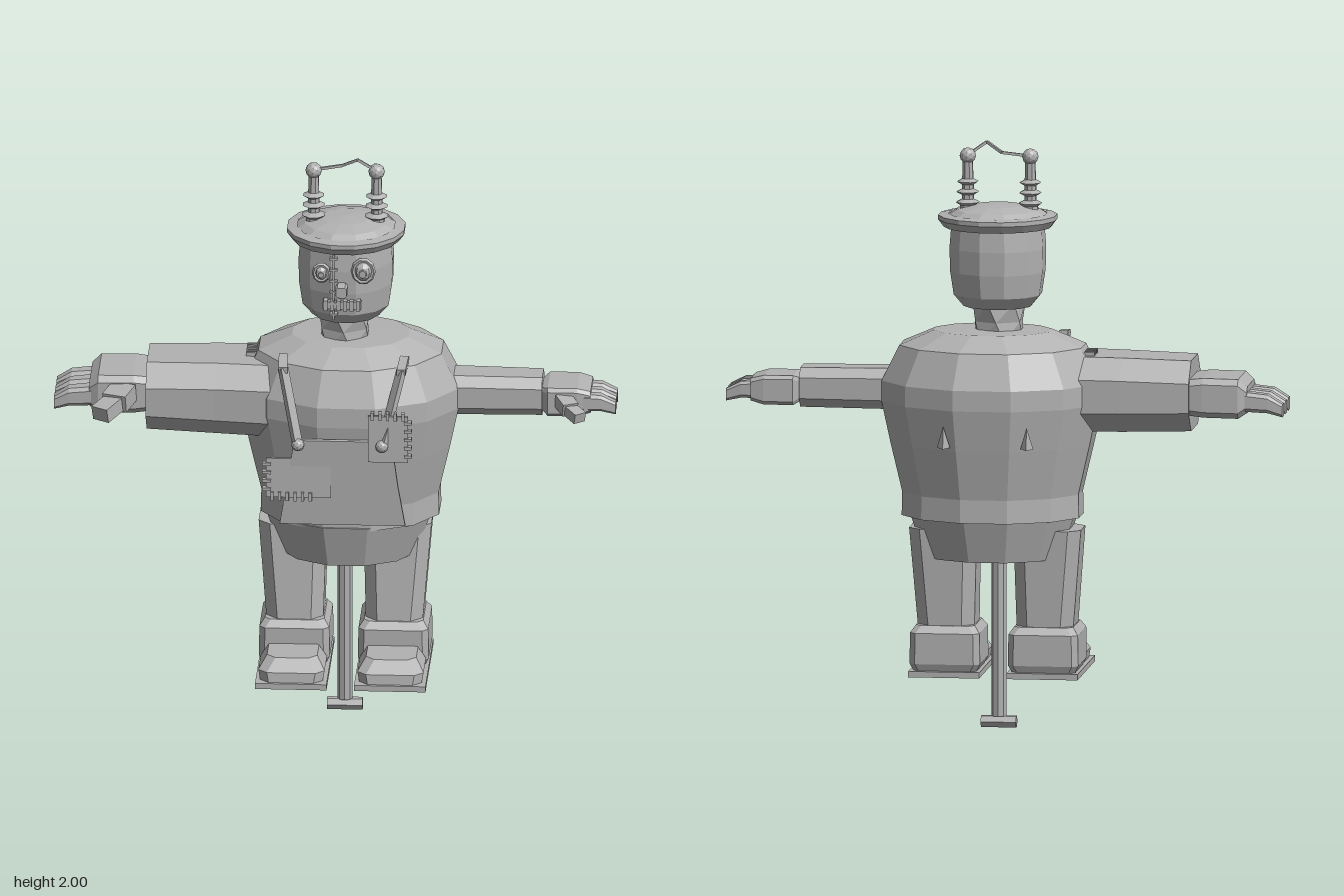
import * as THREE from 'three';

export function createModel() {
  const model = new THREE.Group();
  model.name = 'tinRobot';
  const tin = new THREE.MeshStandardMaterial({ color: 0xb2b2b2, flatShading: true, side: THREE.DoubleSide });
  tin.name = 'tin grey';

  const add = (name, geo, x = 0, y = 0, z = 0) => {
    const m = new THREE.Mesh(geo, tin);
    m.name = name;
    m.position.set(x, y, z);
    model.add(m);
    return m;
  };
  const box = (name, w, h, d, x, y, z) => add(name, new THREE.BoxGeometry(w, h, d), x, y, z);

  // Straight bar between two points
  const bar = (name, a, b, w, t) => {
    const p = new THREE.Vector3(...a), q = new THREE.Vector3(...b);
    const m = add(name, new THREE.BoxGeometry(w, t, p.distanceTo(q)));
    m.position.copy(p).add(q).multiplyScalar(0.5);
    m.lookAt(q);
    return m;
  };

  // Capped loft of chamfered rectangles along an axis.
  // Each section: [position, centreU, centreV, halfU, halfV, chamfer]
  // axis x: u = y, v = z; axis y: u = x, v = z; axis z: u = x, v = y
  const loft = (name, axis, sections) => {
    const rings = sections.map(([p, cu, cv, hu, hv, c = 0.01]) => {
      const pts = [[hu, -hv + c], [hu, hv - c], [hu - c, hv], [c - hu, hv],
        [-hu, hv - c], [-hu, c - hv], [c - hu, -hv], [hu - c, -hv]];
      return pts.map(([u, v]) => axis === 'x' ? [p, cu + u, cv + v]
        : axis === 'y' ? [cu + u, p, cv - v] : [cu + u, cv + v, p]);
    });
    const pos = [];
    const tri = (...t) => t.forEach((v) => pos.push(...v));
    for (let i = 0; i + 1 < rings.length; i++) {
      const a = rings[i], b = rings[i + 1];
      for (let j = 0; j < 8; j++) {
        const k = (j + 1) % 8;
        tri(a[j], a[k], b[k]);
        tri(a[j], b[k], b[j]);
      }
    }
    const s = rings[0], e = rings[rings.length - 1];
    for (let j = 1; j < 7; j++) {
      tri(s[0], s[j + 1], s[j]);
      tri(e[0], e[j], e[j + 1]);
    }
    const g = new THREE.BufferGeometry();
    g.setAttribute('position', new THREE.Float32BufferAttribute(pos, 3));
    g.computeVertexNormals();
    return add(name, g);
  };

  // Faceted turned shape; profile is [radius, y] going upward
  const turned = (name, profile, sides, x, z, depth = 1) => {
    const f = 1 / Math.cos(Math.PI / sides);
    const pts = profile.map(([r, y]) => new THREE.Vector2(r * (r > 0.01 ? (1 + f) / 2 : 1), y));
    const m = add(name, new THREE.LatheGeometry(pts, sides, Math.PI / sides), x, 0, z);
    m.scale.z = depth;
    return m;
  };

  // Torso and trousers
  turned('torso', [[0, 0.74], [0.307, 0.73], [0.305, 0.81], [0.345, 0.98], [0.375, 1.12],
    [0.375, 1.19], [0.315, 1.31], [0.2, 1.36], [0, 1.365]], 12, 0.05, -0.02, 0.8);
  turned('trousers', [[0, 0.59], [0.235, 0.59], [0.285, 0.74], [0, 0.75]], 12, 0.045, -0.014, 0.86);

  // Twisted neck
  const neck = new THREE.CylinderGeometry(0.09, 0.085, 0.13, 6, 2);
  const np = neck.attributes.position;
  for (let i = 0; i < np.count; i++) {
    const a = np.getY(i) * 5, x = np.getX(i), z = np.getZ(i);
    np.setXYZ(i, x * Math.cos(a) - z * Math.sin(a), np.getY(i), x * Math.sin(a) + z * Math.cos(a));
  }
  add('neck', neck, 0.03, 1.39, -0.005);

  // Head with brimmed lid
  const hx = 0.035;
  turned('head', [[0, 1.44], [0.115, 1.44], [0.148, 1.48], [0.16, 1.56], [0.162, 1.64], [0.155, 1.73], [0, 1.73]], 12, hx, 0);
  turned('lidBrim', [[0.155, 1.712], [0.182, 1.71], [0.2, 1.735], [0.2, 1.75], [0.165, 1.755]], 16, hx, 0);
  turned('lidDome', [[0.175, 1.745], [0.14, 1.768], [0.08, 1.782], [0, 1.787]], 12, hx, 0);

  // Face
  for (const [name, x, y, r] of [['rightEye', -0.04, 1.638, 0.024], ['leftEye', 0.102, 1.647, 0.034]]) {
    const rim = add(name + 'Rim', new THREE.TorusGeometry(r, 0.008, 5, 10), x, y, 0.162);
    rim.scale.y = 1.15;
    const ball = add(name, new THREE.SphereGeometry(r * 0.9, 8, 6), x, y, 0.162);
    ball.scale.y = 1.1;
    const pupil = add(name + 'Pupil', new THREE.CylinderGeometry(r * 0.4, r * 0.4, 0.012, 6), x, y, 0.162 + r * 0.9);
    pupil.rotation.x = Math.PI / 2;
  }
  loft('nose', 'z', [[0.14, 0.03, 1.585, 0.014, 0.014, 0.005], [0.185, 0.03, 1.585, 0.021, 0.021, 0.007],
    [0.215, 0.03, 1.585, 0.018, 0.018, 0.006]]);
  box('mouth', 0.13, 0.026, 0.03, 0.03, 1.523, 0.155);
  for (let i = 0; i < 6; i++) box('tooth', 0.014, 0.036, 0.036, -0.025 + i * 0.022, 1.523, 0.157);
  box('faceSeam', 0.006, 0.27, 0.02, 0.002, 1.605, 0.158);
  for (let i = 0; i < 7; i++) box('faceStitch', 0.026, 0.007, 0.024, 0.002, 1.49 + i * 0.04, 0.16);

  // Antennas with ribbed insulators and a bent wire
  for (const x of [-0.075, 0.138]) {
    turned('antenna', [[0.03, 1.74], [0.026, 1.78], [0.04, 1.79], [0.02, 1.8], [0.02, 1.815], [0.038, 1.825],
      [0.02, 1.835], [0.02, 1.85], [0.036, 1.86], [0.019, 1.87], [0.017, 1.94]], 8, x, 0.005);
    add('antennaBall', new THREE.IcosahedronGeometry(0.028, 1), x, 1.948, 0.005);
  }
  const wire = [[-0.075, 1.95, 0.005], [0.02, 1.962, -0.008], [0.075, 1.994, 0.02], [0.138, 1.95, 0.005]];
  for (let i = 0; i < 3; i++) bar('antennaWire', wire[i], wire[i + 1], 0.009, 0.009);

  // Bulky right arm, slim left arm
  loft('rightArm', 'x', [[-0.635, 1.155, 0, 0.12, 0.16, 0.07], [-0.4, 1.155, 0.005, 0.126, 0.168, 0.07],
    [-0.18, 1.155, 0.015, 0.128, 0.178, 0.07]]);
  loft('rightHand', 'x', [[-0.83, 1.15, -0.025, 0.045, 0.11, 0.02], [-0.8, 1.153, -0.025, 0.067, 0.125, 0.02],
    [-0.68, 1.155, -0.025, 0.067, 0.125, 0.02], [-0.62, 1.155, -0.025, 0.06, 0.12, 0.02]]);
  loft('leftArm', 'x', [[0.34, 1.158, -0.018, 0.07, 0.083, 0.032], [0.7, 1.157, -0.018, 0.067, 0.077, 0.032]]);
  loft('leftHand', 'x', [[0.695, 1.15, -0.018, 0.038, 0.055, 0.012], [0.72, 1.15, -0.018, 0.05, 0.092, 0.012],
    [0.82, 1.15, -0.018, 0.05, 0.092, 0.012], [0.865, 1.15, -0.018, 0.038, 0.085, 0.012]]);

  // Three bent fingers on each hand
  for (const z of [-0.105, -0.025, 0.055]) {
    loft('rightFinger', 'x', [[-0.95, 1.115, z, 0.022, 0.026, 0.008], [-0.9, 1.137, z, 0.031, 0.031, 0.012],
      [-0.8, 1.145, z, 0.034, 0.034, 0.012]]);
    const w = (z + 0.025) * 0.72 - 0.012;
    loft('leftFinger', 'x', [[0.84, 1.15, w, 0.03, 0.026, 0.01], [0.9, 1.148, w, 0.028, 0.024, 0.01],
      [0.95, 1.13, w, 0.021, 0.019, 0.007]]);
  }
  bar('rightThumb', [-0.71, 1.17, 0.09], [-0.74, 1.155, 0.17], 0.085, 0.06);
  bar('rightThumbTip', [-0.735, 1.155, 0.155], [-0.785, 1.135, 0.23], 0.065, 0.05);
  bar('leftThumb', [0.77, 1.16, 0.06], [0.8, 1.145, 0.12], 0.055, 0.045);
  bar('leftThumbTip', [0.795, 1.145, 0.11], [0.835, 1.13, 0.158], 0.045, 0.035);

  // Legs, boots and soles
  for (const [side, x] of [['right', -0.135], ['left', 0.2]]) {
    const out = Math.sign(x) * 0.01;
    loft(side + 'Leg', 'y', [[0.33, x, -0.01, 0.095, 0.108, 0.04], [0.69, x + out, -0.035, 0.115, 0.1, 0.04]]);
    loft(side + 'Boot', 'y', [[0.2, x, -0.012, 0.105, 0.12, 0.02], [0.23, x, -0.012, 0.12, 0.132, 0.02],
      [0.335, x, -0.012, 0.118, 0.132, 0.02], [0.36, x, -0.012, 0.1, 0.113, 0.02]]);
    loft(side + 'Toe', 'y', [[0.2, x, 0.2, 0.105, 0.1, 0.03], [0.24, x, 0.195, 0.112, 0.1, 0.03],
      [0.28, x, 0.175, 0.085, 0.08, 0.03]]);
    box(side + 'Sole', 0.242, 0.02, 0.462, x, 0.196, 0.079);
  }

  // Support pole with its cross bar
  add('pole', new THREE.CylinderGeometry(0.025, 0.025, 0.58, 8), 0.03, 0.33, -0.01);
  const foot = add('poleFoot', new THREE.CylinderGeometry(0.022, 0.022, 0.12, 6), 0.03, 0.021, -0.01);
  foot.rotation.z = Math.PI / 2;

  // Apron, patches and stitches
  const apron = new THREE.Shape([[-0.175, 0.77], [0.25, 0.77], [0.225, 0.92], [0.205, 1.08], [-0.125, 1.08], [-0.15, 0.92]]
    .map((p) => new THREE.Vector2(...p)));
  const panel = new THREE.ExtrudeGeometry(apron, { depth: 0.015, bevelEnabled: false });
  panel.translate(0, -0.77, 0);
  add('apron', panel, 0, 0.77, 0.253).rotation.x = 0.07;
  box('rightPatch', 0.22, 0.14, 0.01, -0.11, 0.94, 0.278);
  box('leftPatch', 0.135, 0.165, 0.01, 0.193, 1.09, 0.29);
  for (let i = 0; i < 6; i++) {
    box('patchStitch', 0.01, 0.03, 0.022, -0.2 + i * 0.026, 0.875, 0.282);
    if (i < 4) box('patchStitch', 0.03, 0.01, 0.022, -0.218, 0.9 + i * 0.03, 0.28);
    if (i < 5) box('patchStitch', 0.01, 0.026, 0.022, 0.14 + i * 0.026, 1.172, 0.29);
    if (i < 5) box('patchStitch', 0.026, 0.01, 0.022, 0.26, 1.03 + i * 0.03, 0.29);
  }

  // Straps with buttons in front and hooks on the back
  for (const [top, low] of [[-0.165, -0.112], [0.235, 0.172]]) {
    bar('strapTop', [top - Math.sign(low) * -0.005, 1.325, 0.14], [top, 1.315, 0.25], 0.03, 0.022);
    bar('strap', [top, 1.32, 0.238], [low, 1.06, 0.292], 0.032, 0.018);
    add('strapButton', new THREE.IcosahedronGeometry(0.022, 1), low, 1.065, 0.295);
    const hook = add('backHook', new THREE.ConeGeometry(0.022, 0.075, 4), low + 0.01, 1.03, -0.3);
    hook.rotation.x = -0.15;
  }

  // Shoulder seam stitches
  for (let i = 0; i < 5; i++) box('shoulderStitch', 0.035, 0.02, 0.01, -0.285, 1.285, -0.06 + i * 0.022);

  return model;
}
